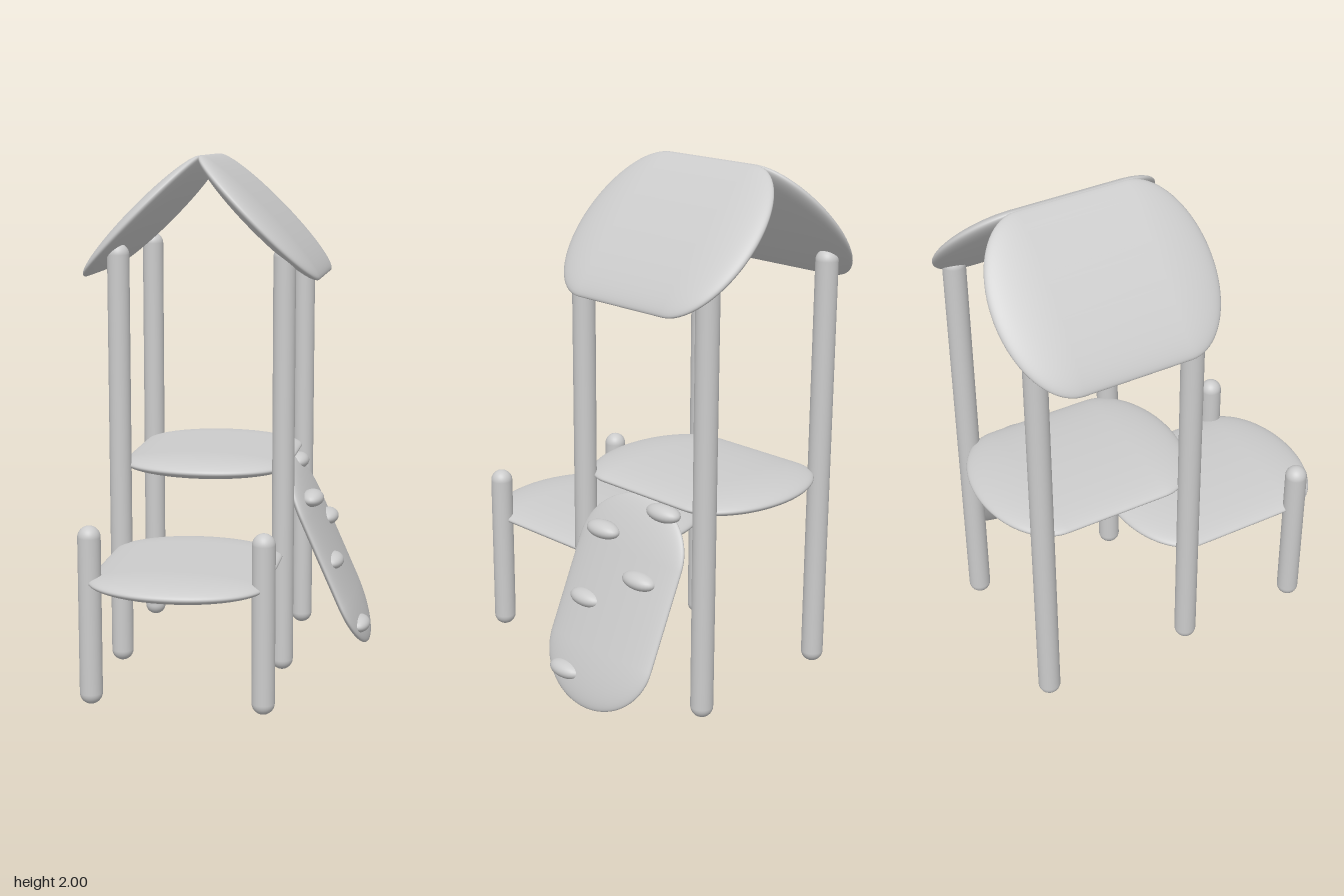
import * as THREE from 'three';

const material = new THREE.MeshStandardMaterial({ color: 0xcccccc });

function add(group, name, geometry, x, y, z, tilt = 0) {
  const mesh = new THREE.Mesh(geometry, material);
  mesh.name = name;
  mesh.position.set(x, y, z);
  mesh.rotation.z = tilt;
  group.add(mesh);
  return mesh;
}

// Pillow-like board: a flattened capsule, long in y, wide in x, thin in z
function board(halfWidth, halfThickness, length, cap) {
  const g = new THREE.CapsuleGeometry(1, (length - 2 * cap) / cap, 20, 64);
  return g.scale(halfWidth, cap, halfThickness);
}

// Round-ended post standing on y = 0
function post(height, radius = 0.043) {
  const g = new THREE.CapsuleGeometry(radius, height - 2 * radius, 10, 32);
  return g.translate(0, height / 2, 0);
}

export function createModel() {
  const model = new THREE.Group();
  model.name = 'playTower';
  const midX = -0.088;

  // Four tall posts and two short front posts
  const tall = post(1.67);
  const short = post(0.68);
  for (const [side, x] of [['right', -0.411], ['left', 0.235]]) {
    add(model, side + 'BackPost', tall, x, 0, -0.603);
    add(model, side + 'MiddlePost', tall, x, 0, 0.016);
    add(model, side + 'FrontPost', short, x, 0, 0.516);
  }

  // Two decks and two sloping roof panels share one shape
  const flat = board(0.33, 0.044, 0.835, 0.21).rotateX(Math.PI / 2);
  add(model, 'upperDeck', flat, midX, 0.798, -0.293);
  add(model, 'lowerDeck', flat, midX, 0.472, 0.293);
  add(model, 'rightRoofPanel', flat, -0.338, 1.767, -0.293, Math.PI / 4);
  add(model, 'leftRoofPanel', flat, 0.122, 1.767, -0.293, -Math.PI / 4);

  // Leaning climbing wall
  const wall = board(0.263, 0.036, 0.82, 0.22).rotateY(Math.PI / 2);
  add(model, 'climbingWall', wall, 0.385, 0.415, -0.297, 0.42);

  // Climbing holds on the outer face of the wall
  const hold = new THREE.SphereGeometry(1, 28, 18).scale(0.045, 0.033, 0.077);
  const holds = [
    [0.24, 0.755, -0.404], [0.328, 0.652, -0.178], [0.365, 0.525, -0.404],
    [0.412, 0.4, -0.174], [0.521, 0.143, -0.174],
  ];
  holds.forEach(([x, y, z], i) => add(model, 'climbingHold' + (i + 1), hold, x, y, z));

  return model;
}
